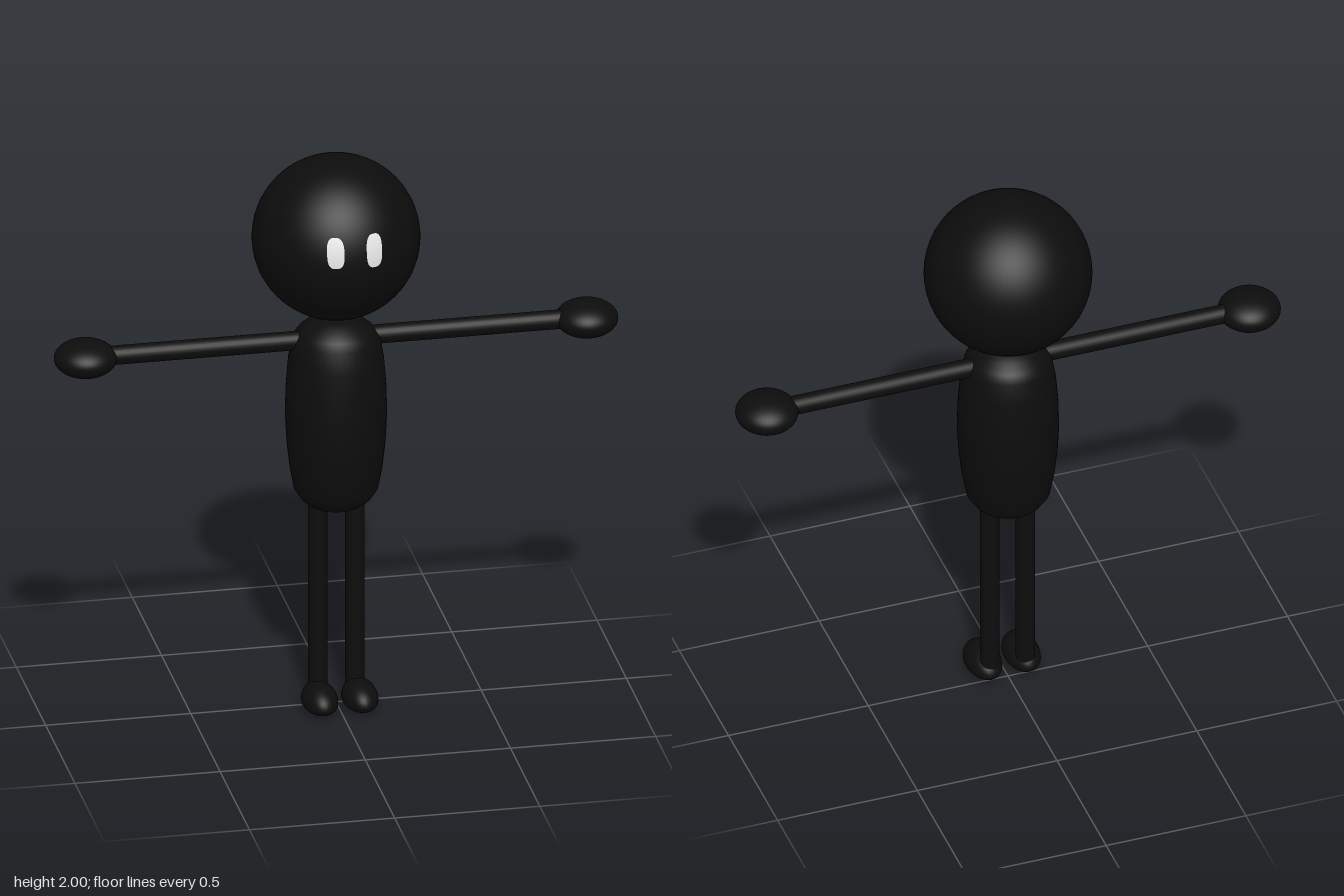
import * as THREE from 'three';

const black = new THREE.MeshStandardMaterial({ color: 0x0d0d0d });
black.name = 'black';
const white = new THREE.MeshStandardMaterial({ color: 0xebebeb });
white.name = 'white';

const HEAD_Y = 1.715, HEAD_R = 0.285;

function add(parent, name, geometry, material, x = 0, y = 0, z = 0) {
  const mesh = new THREE.Mesh(geometry, material);
  mesh.name = name;
  mesh.position.set(x, y, z);
  parent.add(mesh);
  return mesh;
}

// Rounded upright patch wrapped onto the front of the head
function eyeGeometry(cx, cy, halfW, halfH) {
  const geo = new THREE.RingGeometry(0, 1, 32, 5);
  const p = geo.attributes.position;
  const r = HEAD_R + 0.002;
  const soften = (v) => Math.sign(v) * Math.pow(Math.abs(v), 0.7);
  for (let i = 0; i < p.count; i++) {
    const d = Math.hypot(p.getX(i), p.getY(i)) || 1;
    const x = cx + halfW * d * soften(p.getX(i) / d);
    const y = cy + halfH * d * soften(p.getY(i) / d);
    p.setXYZ(i, x, y, Math.sqrt(r * r - x * x - y * y));
  }
  geo.computeVertexNormals();
  return geo;
}

// Ellipsoid with a domed top and a shallower underside
function footGeometry() {
  const geo = new THREE.SphereGeometry(1, 32, 20);
  const p = geo.attributes.position;
  for (let i = 0; i < p.count; i++) {
    const y = p.getY(i);
    p.setXYZ(i, p.getX(i) * 0.061, y * (y > 0 ? 0.062 : 0.038), p.getZ(i) * 0.102);
  }
  geo.computeVertexNormals();
  return geo;
}

export function createModel() {
  const model = new THREE.Group();
  model.name = 'figure';

  // Head, eyes and neck
  add(model, 'head', new THREE.SphereGeometry(HEAD_R, 64, 40), black, 0, HEAD_Y, 0);
  add(model, 'rightEye', eyeGeometry(-0.056, 0.057, 0.029, 0.053), white, 0, HEAD_Y, 0);
  add(model, 'leftEye', eyeGeometry(0.078, 0.055, 0.028, 0.057), white, 0, HEAD_Y, 0);
  add(model, 'neck', new THREE.CylinderGeometry(0.033, 0.033, 0.12, 24), black, 0, 1.42, 0);

  // Barrel body with domed ends
  const profile = [
    [0, 0.72], [0.05, 0.724], [0.09, 0.737], [0.12, 0.76], [0.143, 0.795],
    [0.157, 0.87], [0.168, 0.97], [0.173, 1.07], [0.17, 1.17], [0.162, 1.27], [0.149, 1.345],
    [0.13, 1.373], [0.1, 1.399], [0.065, 1.415], [0.03, 1.421], [0, 1.422],
  ].map(([r, y]) => new THREE.Vector2(r, y));
  add(model, 'body', new THREE.LatheGeometry(profile, 48), black);

  // Limbs, mirrored
  for (const [side, s] of [['left', 1], ['right', -1]]) {
    const arm = add(model, side + 'Arm', new THREE.CylinderGeometry(0.033, 0.033, 0.74, 24), black, s * 0.45, 1.343, 0);
    arm.rotation.z = Math.PI / 2;
    const hand = add(model, side + 'Hand', new THREE.SphereGeometry(1, 40, 24), black, s * 0.863, 1.341, 0);
    hand.scale.set(0.107, 0.062, 0.107);
    add(model, side + 'Leg', new THREE.CylinderGeometry(0.033, 0.033, 0.74, 24), black, s * 0.064, 0.41, 0.005);
    add(model, side + 'Foot', footGeometry(), black, s * 0.069, 0.038, 0.063);
  }
  return model;
}
